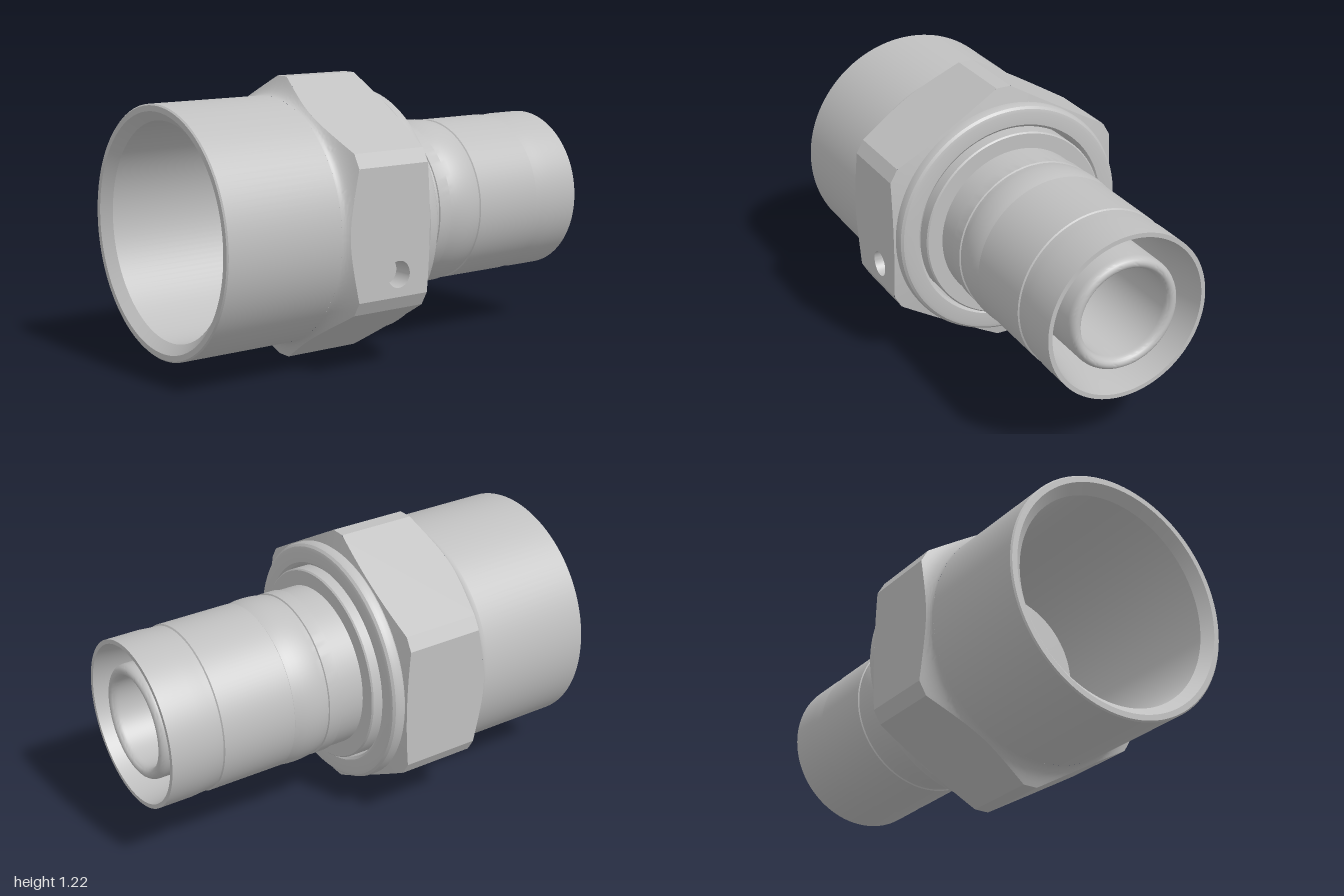
import * as THREE from 'three';
import { toCreasedNormals } from 'three/addons/utils/BufferGeometryUtils.js';

const AXIS_Y = 0.61;      // height of the fitting's axis
const FLAT = 0.545;       // hexagon centre to flat
const CORNER = 0.61;      // hexagon centre to trimmed corner
const BODY = 0.53;        // nut barrel radius

// End curves of the hexagon: x position for a given radius
const leftEnd = r => -0.46 + 0.075 * Math.sqrt(Math.max(0, (r - BODY) / 0.08));
const rightEnd = r => -0.015 - (r - BODY) * 0.2;

// Radius of the trimmed hexagon at an angle
function hexRadius(phi) {
  const step = Math.PI / 3;
  const a = Math.abs(phi - Math.round(phi / step) * step);
  return Math.min(FLAT / Math.cos(a), CORNER / Math.cos(step / 2 - a));
}

export function createModel() {
  const model = new THREE.Group();
  model.name = 'pipeFitting';
  const steel = new THREE.MeshStandardMaterial({ color: 0xc0c0c0 });
  steel.name = 'steel';

  function add(name, geometry, parent = model) {
    const mesh = new THREE.Mesh(geometry, steel);
    mesh.name = name;
    parent.add(mesh);
    return mesh;
  }

  // Turned part from [x, radius] pairs around the x axis
  function turned(name, profile) {
    const g = new THREE.LatheGeometry(profile.map(([x, r]) => new THREE.Vector2(r, x)), 120);
    g.rotateZ(-Math.PI / 2);
    return add(name, toCreasedNormals(g, 0.45));
  }

  // Nut: rounded collar, bore and barrel
  turned('nutBody', [
    [-0.02, 0.53], [-0.008, 0.54], [0.018, 0.54], [0.032, 0.535], [0.041, 0.525], [0.045, 0.51],
    [0.045, 0.455], [0.033, 0.443], [-0.08, 0.443], [-0.08, 0.46], [-0.96, 0.46],
    [-1, 0.5], [-1, 0.524], [-0.994, 0.53], [-0.46, 0.53],
  ]);

  // Hexagon flats and trimmed corners, with a drilled hole in the front flat
  const hex = new THREE.Group();
  hex.name = 'hexagon';
  model.add(hex);
  const hole = { x: -0.18, y: -0.18, r: 0.057, depth: 0.09 };
  const flatHalf = (CORNER - FLAT * Math.cos(Math.PI / 6)) / 0.5;
  const cornerHalf = Math.sqrt(FLAT ** 2 + flatHalf ** 2 - CORNER ** 2);
  function hexFace(name, apothem, half, angle, drilled) {
    const n = 32, left = [], right = [];
    for (let i = 0; i <= n; i++) {
      const s = half * (2 * i / n - 1), r = Math.hypot(apothem, s);
      left.push(new THREE.Vector2(leftEnd(r), s));
      right.push(new THREE.Vector2(rightEnd(r), s));
    }
    const shape = new THREE.Shape([...right, ...left.reverse()]);
    if (drilled) {
      shape.holes.push(new THREE.Path().absarc(hole.x, hole.y, hole.r, 0, Math.PI * 2, true));
    }
    const g = new THREE.ShapeGeometry(shape, 24);
    g.translate(0, 0, apothem);
    g.rotateX(angle);
    add(name, g, hex);
  }
  for (let i = 0; i < 6; i++) {
    const a = i * Math.PI / 3;
    hexFace('hexFlat', FLAT, flatHalf, a, i === 0);
    hexFace('hexCorner', CORNER, cornerHalf, a + Math.PI / 6, false);
  }

  // Hole wall and floor, seen from inside
  const pocket = new THREE.LatheGeometry(
    [[hole.r, 0], [hole.r, -hole.depth], [0, -hole.depth]].map(p => new THREE.Vector2(...p)), 48);
  pocket.rotateX(Math.PI / 2);
  pocket.translate(hole.x, hole.y, FLAT);
  add('drilledHole', toCreasedNormals(pocket, 0.5), hex);

  // Curved shoulders joining the hexagon to the barrel and the collar
  function shoulder(name, endX, toCorner) {
    const rows = 8, segs = 360;
    const pts = Array.from({ length: rows + 1 }, (_, i) => new THREE.Vector2(1, i / rows));
    const g = new THREE.LatheGeometry(pts, segs);
    const p = g.attributes.position;
    for (let i = 0; i < p.count; i++) {
      const phi = Math.atan2(p.getX(i), p.getZ(i));
      const t = toCorner ? p.getY(i) ** 2 : 1 - p.getY(i);
      const r = BODY + (hexRadius(phi) - BODY) * t;
      p.setXYZ(i, r * Math.sin(phi), endX(r), r * Math.cos(phi));
    }
    g.rotateZ(-Math.PI / 2);
    add(name, toCreasedNormals(g, 0.6), hex);
  }
  shoulder('barrelShoulder', leftEnd, true);
  shoulder('collarShoulder', rightEnd, false);

  // Insert: loose collar, crimped sleeve and inner tube with a through bore
  turned('insertCollar', [
    [-0.25, 0.198], [-0.25, 0.33], [-0.06, 0.425], [-0.05, 0.433],
    [0.074, 0.433], [0.08, 0.427], [0.08, 0.35],
  ]);
  turned('crimpSleeve', [
    [0.08, 0.36], [0.188, 0.36], [0.19, 0.366], [0.25, 0.366], [0.253, 0.36],
    [0.28, 0.366], [0.31, 0.37], [0.34, 0.371], [0.37, 0.37], [0.4, 0.366], [0.42, 0.361],
    [0.424, 0.366], [0.758, 0.366], [0.762, 0.36], [0.8, 0.362], [0.85, 0.366], [1, 0.366],
    [1, 0.347], [0.8, 0.322], [0.5, 0.322], [0.5, 0.24],
  ]);
  const tube = [[0.5, 0.25]];
  for (let i = 0; i <= 10; i++) {
    const a = Math.PI * i / 10;
    tube.push([0.95 + 0.035 * Math.sin(a), 0.224 + 0.026 * Math.cos(a)]);
  }
  tube.push([-0.25, 0.198]);
  turned('innerTube', tube);

  // Raise the axis so the lowest corner rests on the ground
  for (const part of model.children) part.position.y = AXIS_Y;
  return model;
}
